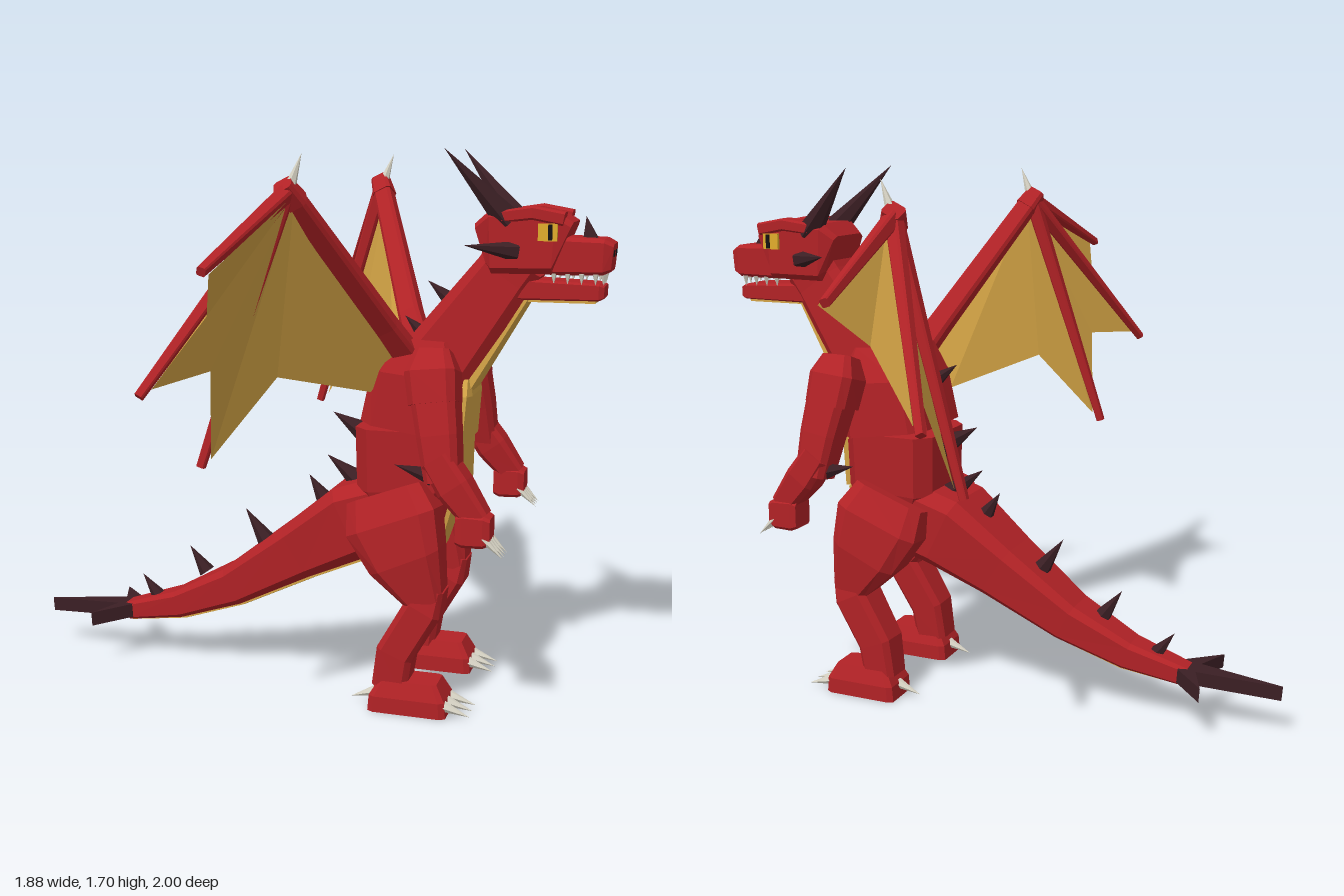
import * as THREE from 'three';

const mat = (name, color) => {
  const m = new THREE.MeshStandardMaterial({ color });
  m.name = name;
  return m;
};

export function createModel() {
  const root = new THREE.Group();
  root.name = 'dragon';
  const red = mat('red scales', 0xb22226);
  const tan = mat('tan belly', 0xd4a446);
  const tanSkin = mat('tan wing skin', 0xd4a445);
  tanSkin.side = THREE.DoubleSide;
  const dark = mat('dark horn', 0x3b1f24);
  const ivory = mat('ivory claw', 0xd9d5c6);
  const gold = mat('gold eye', 0xe2ac2c);
  const black = mat('black', 0x141012);

  const V = (x, y, z) => new THREE.Vector3(x, y, z);
  function add(name, geo, material) {
    const g = geo.index ? geo.toNonIndexed() : geo;
    g.computeVertexNormals(); // unshared corners give flat facets
    const mesh = new THREE.Mesh(g, material);
    mesh.name = name;
    root.add(mesh);
    return mesh;
  }

  // Chamfered eight-sided beam through rows of [x, y, z, halfWidth, halfHeight]
  function loft(name, material, rows, chamfer = 0.3) {
    const c = rows.map(r => V(r[0], r[1], r[2]));
    const k = 1 - chamfer;
    const unit = [[1, -k], [1, k], [k, 1], [-k, 1], [-1, k], [-1, -k], [-k, -1], [k, -1]];
    const rings = rows.map((r, i) => {
      const t = c[Math.min(i + 1, c.length - 1)].clone().sub(c[Math.max(i - 1, 0)]).normalize();
      const s = V(0, 0, 1).addScaledVector(t, -t.z).normalize();
      const n = s.clone().cross(t);
      return unit.map(([a, b]) => c[i].clone().addScaledVector(s, a * r[3]).addScaledVector(n, b * r[4]));
    });
    const tris = [];
    const last = rings.length - 1;
    for (let j = 0; j < 8; j++) {
      const j2 = (j + 1) % 8;
      for (let i = 0; i < last; i++) {
        const [p, q] = [rings[i], rings[i + 1]];
        tris.push([p[j], p[j2], q[j2]], [p[j], q[j2], q[j]]);
      }
      tris.push([c[0], rings[0][j2], rings[0][j]], [c[last], rings[last][j], rings[last][j2]]);
    }
    // Turn the faces outward
    let volume = 0;
    for (const [p, q, r] of tris) volume += p.clone().sub(c[0]).dot(q.clone().sub(c[0]).cross(r.clone().sub(c[0])));
    if (volume < 0) tris.forEach(t => t.reverse());
    return add(name, new THREE.BufferGeometry().setFromPoints(tris.flat()), material);
  }

  // Pointed cone from a base point to a tip
  function spike(name, material, base, tip, r, sides = 6) {
    const a = V(...base), d = V(...tip).sub(a);
    const g = new THREE.ConeGeometry(r, d.length(), sides);
    g.translate(0, d.length() / 2, 0);
    g.applyQuaternion(new THREE.Quaternion().setFromUnitVectors(V(0, 1, 0), d.normalize()));
    g.translate(a.x, a.y, a.z);
    return add(name, g, material);
  }
  function box(name, material, w, h, d, x, y, z) {
    return add(name, new THREE.BoxGeometry(w, h, d).translate(x, y, z), material);
  }

  // Trunk
  loft('lowerTorso', red, [[0.36, 0.52, 0, 0.11, 0.09], [0.34, 0.67, 0, 0.155, 0.15], [0.34, 0.86, 0, 0.16, 0.155]]);
  loft('upperTorso', red, [[0.35, 0.86, 0, 0.165, 0.15], [0.375, 1.03, 0, 0.16, 0.14], [0.38, 1.135, 0, 0.11, 0.11]]);
  loft('neck', red, [[0.4, 1.02, 0, 0.11, 0.12], [0.62, 1.33, 0, 0.085, 0.09], [0.655, 1.38, 0, 0.085, 0.09]]);
  loft('tail', red, [[0.33, 0.6, 0, 0.15, 0.12], [0.16, 0.545, 0, 0.145, 0.12], [-0.02, 0.43, 0, 0.115, 0.09],
    [-0.25, 0.285, 0, 0.085, 0.063], [-0.45, 0.198, 0, 0.06, 0.045], [-0.64, 0.152, 0, 0.04, 0.03]]);

  // Belly plates
  loft('bellyPlate', tan, [[0.43, 0.48, 0, 0.07, 0.02], [0.485, 0.67, 0, 0.1, 0.025]]);
  loft('bellyPlate', tan, [[0.49, 0.67, 0, 0.1, 0.03], [0.492, 0.83, 0, 0.11, 0.03]]);
  loft('bellyPlate', tan, [[0.495, 0.83, 0, 0.12, 0.035], [0.505, 0.97, 0, 0.115, 0.035], [0.51, 1.02, 0, 0.09, 0.025]]);
  loft('throatPlate', tan, [[0.512, 0.98, 0, 0.085, 0.022], [0.685, 1.27, 0, 0.055, 0.018]]);
  loft('tailPlate', tan, [[0.37, 0.485, 0, 0.075, 0.012], [0.22, 0.435, 0, 0.068, 0.012], [0.03, 0.352, 0, 0.055, 0.012],
    [-0.22, 0.228, 0, 0.042, 0.01], [-0.43, 0.155, 0, 0.032, 0.008], [-0.63, 0.124, 0, 0.02, 0.006]]);

  // Tail fin
  const fin = new THREE.Shape([[0, 0.045], [-0.1, 0.15], [-0.055, 0.035], [-0.32, 0.003], [-0.32, -0.003],
    [-0.055, -0.035], [-0.1, -0.15], [0, -0.045]].map(p => new THREE.Vector2(...p)));
  add('tailFin', new THREE.ExtrudeGeometry(fin, { depth: 0.045, bevelEnabled: false })
    .rotateX(Math.PI / 2).rotateZ(0.07).translate(-0.62, 0.182, 0), dark);

  // Spines from neck to tail: base x, y, tip x, y, radius
  for (const [x, y, tx, ty, r] of [[0.46, 1.24, 0.38, 1.305, 0.03], [0.38, 1.13, 0.31, 1.195, 0.03],
    [0.25, 1.01, 0.15, 1.08, 0.035], [0.2, 0.81, 0.08, 0.88, 0.042], [0.18, 0.65, 0.06, 0.74, 0.04],
    [0.06, 0.58, 0, 0.67, 0.033], [-0.15, 0.44, -0.22, 0.54, 0.03], [-0.36, 0.31, -0.42, 0.395, 0.027],
    [-0.54, 0.21, -0.595, 0.28, 0.024]]) spike('backSpine', dark, [x, y, 0], [tx, ty, 0], r);

  // Head
  loft('head', red, [[0.555, 1.42, 0, 0.095, 0.065], [0.585, 1.43, 0, 0.115, 0.092],
    [0.77, 1.43, 0, 0.115, 0.09], [0.795, 1.42, 0, 0.1, 0.075]], 0.2);
  loft('snout', red, [[0.76, 1.392, 0, 0.09, 0.056], [0.91, 1.39, 0, 0.085, 0.052], [0.935, 1.388, 0, 0.072, 0.04]], 0.2);
  loft('jaw', red, [[0.64, 1.292, 0, 0.078, 0.032], [0.9, 1.287, 0, 0.07, 0.025], [0.915, 1.287, 0, 0.06, 0.018]], 0.2);
  box('jawPlate', tan, 0.22, 0.009, 0.1, 0.78, 1.258, 0);
  spike('noseHorn', dark, [0.865, 1.435, 0], [0.85, 1.505, 0], 0.026);
  for (const z of [-0.045, -0.015, 0.015, 0.045]) spike('frontTooth', ivory, [0.91, 1.342, z], [0.91, 1.308, z], 0.01, 5);

  for (const s of [1, -1]) {
    // Face details
    loft('brow', red, [[0.62, 1.505, s * 0.09, 0.03, 0.018], [0.71, 1.517, s * 0.095, 0.035, 0.02], [0.8, 1.5, s * 0.095, 0.033, 0.02]]);
    box('eye', gold, 0.055, 0.05, 0.03, 0.755, 1.462, s * 0.111);
    box('pupil', black, 0.012, 0.045, 0.006, 0.763, 1.462, s * 0.128);
    box('nostril', black, 0.008, 0.018, 0.024, 0.934, 1.4, s * 0.034);
    spike('horn', dark, [0.635, 1.49, s * 0.08], [0.455, 1.7, s * 0.15], 0.042);
    spike('cheekHorn', dark, [0.66, 1.405, s * 0.1], [0.525, 1.425, s * 0.19], 0.03);
    for (let i = 0; i < 4; i++) {
      const x = 0.77 + i * 0.04;
      spike('tooth', ivory, [x, 1.342, s * 0.072], [x, 1.308, s * 0.07], 0.01, 5);
    }

    // Arm
    loft('shoulder', red, [[0.45, 1.12, s * 0.215, 0.045, 0.05], [0.452, 1.06, s * 0.235, 0.07, 0.075], [0.465, 0.97, s * 0.255, 0.068, 0.07]]);
    loft('upperArm', red, [[0.46, 1.02, s * 0.245, 0.065, 0.068], [0.485, 0.88, s * 0.28, 0.06, 0.06], [0.505, 0.75, s * 0.305, 0.052, 0.05]]);
    loft('forearm', red, [[0.485, 0.82, s * 0.3, 0.055, 0.045], [0.54, 0.74, s * 0.308, 0.055, 0.05], [0.61, 0.65, s * 0.315, 0.042, 0.038]]);
    loft('hand', red, [[0.55, 0.622, s * 0.315, 0.042, 0.042], [0.57, 0.622, s * 0.315, 0.046, 0.05],
      [0.63, 0.622, s * 0.315, 0.046, 0.048], [0.65, 0.622, s * 0.315, 0.04, 0.038]], 0.2);
    for (const z of [-0.033, -0.011, 0.011, 0.033])
      spike('fingerClaw', ivory, [0.63, 0.605, s * (0.315 + z)], [0.69, 0.548, s * (0.315 + z * 1.1)], 0.014);
    spike('elbowSpike', dark, [0.47, 0.765, s * 0.305], [0.36, 0.795, s * 0.315], 0.028);

    // Leg
    loft('thigh', red, [[0.3, 0.67, s * 0.165, 0.06, 0.12], [0.33, 0.59, s * 0.185, 0.08, 0.145],
      [0.375, 0.48, s * 0.19, 0.082, 0.115], [0.44, 0.35, s * 0.185, 0.065, 0.055]]);
    loft('shin', red, [[0.455, 0.4, s * 0.185, 0.06, 0.04], [0.43, 0.33, s * 0.185, 0.07, 0.058],
      [0.345, 0.18, s * 0.19, 0.062, 0.058], [0.33, 0.07, s * 0.192, 0.055, 0.055]]);
    loft('foot', red, [[0.39, 0, s * 0.195, 0.07, 0.122], [0.39, 0.05, s * 0.195, 0.07, 0.118], [0.39, 0.1, s * 0.195, 0.052, 0.09]], 0.15);
    for (const z of [-0.045, 0, 0.045])
      spike('toeClaw', ivory, [0.49, 0.04, s * (0.195 + z)], [0.585, 0.012, s * (0.195 + z * 1.1)], 0.02);
    spike('heelClaw', ivory, [0.285, 0.045, s * 0.195], [0.2, 0.015, s * 0.195], 0.018);

    // Wing bones
    const wrist = [0.1, 1.58, s * 0.51];
    const tips = [[0.04, 1.4, s * 0.995], [-0.175, 1.065, s * 0.905], [-0.14, 0.81, s * 0.575]];
    loft('wingArm', red, [[0.33, 1.1, s * 0.1, 0.035, 0.04], [0.29, 1.18, s * 0.165, 0.034, 0.036], [...wrist, 0.028, 0.03]]);
    loft('wingWrist', red, [[0.115, 1.55, s * 0.485, 0.032, 0.034], [0.09, 1.6, s * 0.528, 0.026, 0.028]]);
    tips.forEach(t => loft('wingFinger', red, [[...wrist, 0.022, 0.022], [...t, 0.012, 0.012]]));
    spike('wingClaw', ivory, [0.105, 1.59, s * 0.51], [0.14, 1.685, s * 0.51], 0.018);

    // Wing skin, fanned from the wrist just ahead of the bones
    const edge = [tips[0], [-0.025, 1.28, s * 0.85], [-0.165, 1.09, s * 0.89], [-0.085, 1.11, s * 0.68],
      [-0.13, 0.84, s * 0.573], [0.02, 1.06, s * 0.43], [0.22, 0.98, s * 0.14], [0.31, 1.12, s * 0.13]];
    const ahead = p => V(p[0] + 0.02, p[1] - 0.006, p[2]);
    const skin = [];
    for (let i = 0; i < edge.length - 1; i++) {
      const tri = [ahead(wrist), ahead(edge[i]), ahead(edge[i + 1])];
      skin.push(...(s > 0 ? tri : tri.reverse()));
    }
    add('wingSkin', new THREE.BufferGeometry().setFromPoints(skin), tanSkin);
  }
  return root;
}
